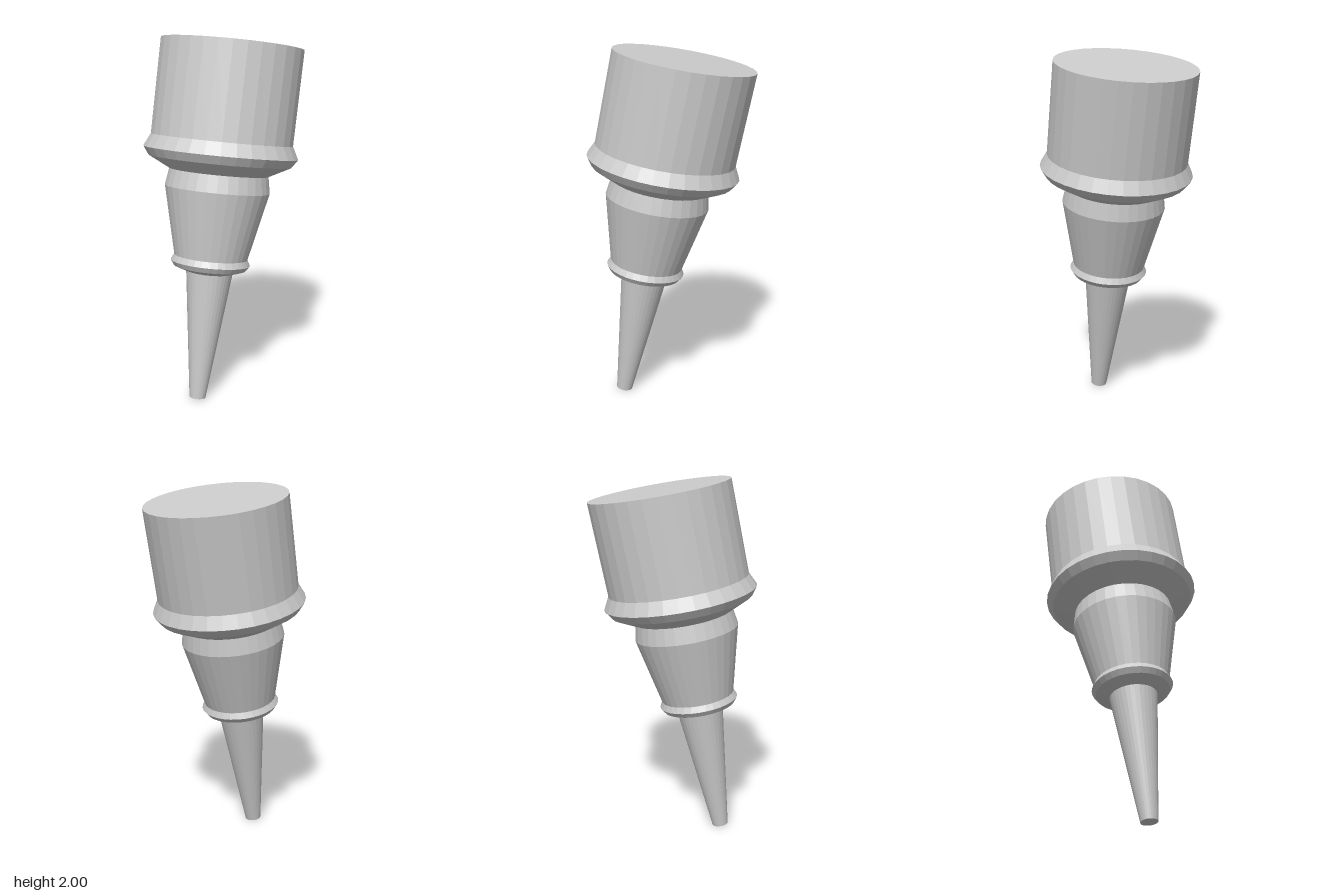
import * as THREE from 'three';

const SIDES = 32;
const TILT = THREE.MathUtils.degToRad(9.85);

// Turned part from [radius, height] pairs, listed bottom to top
function turned(name, profile, material) {
  const points = profile.map(([r, h]) => new THREE.Vector2(r, h));
  const mesh = new THREE.Mesh(new THREE.LatheGeometry(points, SIDES), material);
  mesh.name = name;
  return mesh;
}

export function createModel() {
  const material = new THREE.MeshStandardMaterial({ color: 0xcccccc, flatShading: true });
  const tool = new THREE.Group();
  tool.name = 'tiltedTool';

  // Long tapered tip with a closed end
  tool.add(turned('taperedTip', [[0, 0], [0.045, 0], [0.129, 0.715]], material));

  // Small flared collar above the tip
  tool.add(turned('lowerCollar', [
    [0.129, 0.715], [0.2, 0.74], [0.219, 0.768], [0.203, 0.8],
  ], material));

  // Conical neck with a chamfered shoulder
  tool.add(turned('neck', [[0.203, 0.8], [0.288, 1.175], [0.272, 1.268]], material));

  // Large flared collar
  tool.add(turned('upperCollar', [
    [0.272, 1.268], [0.392, 1.33], [0.423, 1.375], [0.388, 1.445],
  ], material));

  // Wide barrel with a flat cap, leaning back slightly more than the neck
  const barrel = turned('barrel', [[0.388, 1.445], [0.389, 1.962], [0, 1.962]], material);
  const pos = barrel.geometry.attributes.position;
  for (let i = 0; i < pos.count; i++) {
    pos.setZ(i, pos.getZ(i) - 0.03 * (pos.getY(i) - 1.445));
  }
  barrel.geometry.computeVertexNormals();
  tool.add(barrel);

  // Lean the whole axis backwards and stand the tip on the ground
  tool.rotation.x = -TILT;
  tool.position.set(0, 0.008, 0.277);

  const model = new THREE.Group();
  model.name = 'model';
  model.add(tool);
  return model;
}
